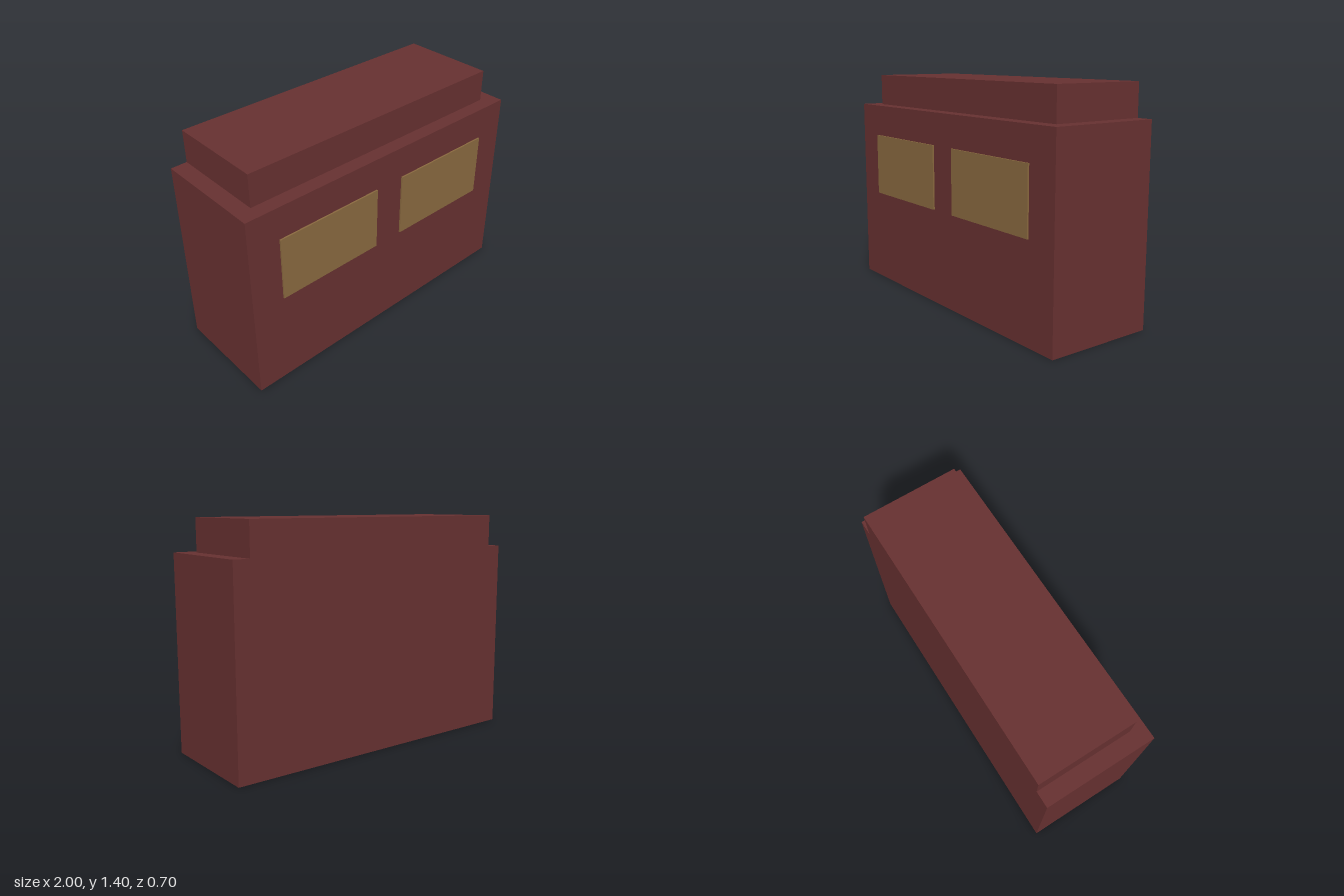
import * as THREE from 'three';

// Box with no underside, standing on y0
function openBox(w, h, y0, zBack, zFront) {
  const geo = new THREE.BoxGeometry(w, h, zFront - zBack);
  const index = Array.from(geo.index.array);
  index.splice(18, 6); // drop the bottom face
  geo.setIndex(index);
  geo.clearGroups();
  geo.translate(0, y0 + h / 2, (zBack + zFront) / 2);
  return geo;
}

export function createModel() {
  const model = new THREE.Group();
  model.name = 'steppedBlock';

  const wall = new THREE.MeshStandardMaterial({ color: 0x663030, side: THREE.DoubleSide });
  wall.name = 'dark red wall';
  const pane = new THREE.MeshStandardMaterial({ color: 0x88683e });
  pane.name = 'amber pane';

  const add = (name, geometry, material) => {
    const mesh = new THREE.Mesh(geometry, material);
    mesh.name = name;
    model.add(mesh);
    return mesh;
  };

  // Hollow main body, open at the base
  add('body', openBox(2, 1.2, 0, -0.35, 0.34), wall);

  // Narrower upper step, flush with the back
  add('upperStep', openBox(1.8, 0.2, 1.2, -0.35, 0.25), wall);

  // Pair of window plates on the front
  for (const side of [-1, 1]) {
    const plate = add(side > 0 ? 'leftWindow' : 'rightWindow', new THREE.BoxGeometry(0.7, 0.4, 0.0099), pane);
    plate.position.set(side * 0.45, 0.8, 0.345);
  }

  return model;
}
